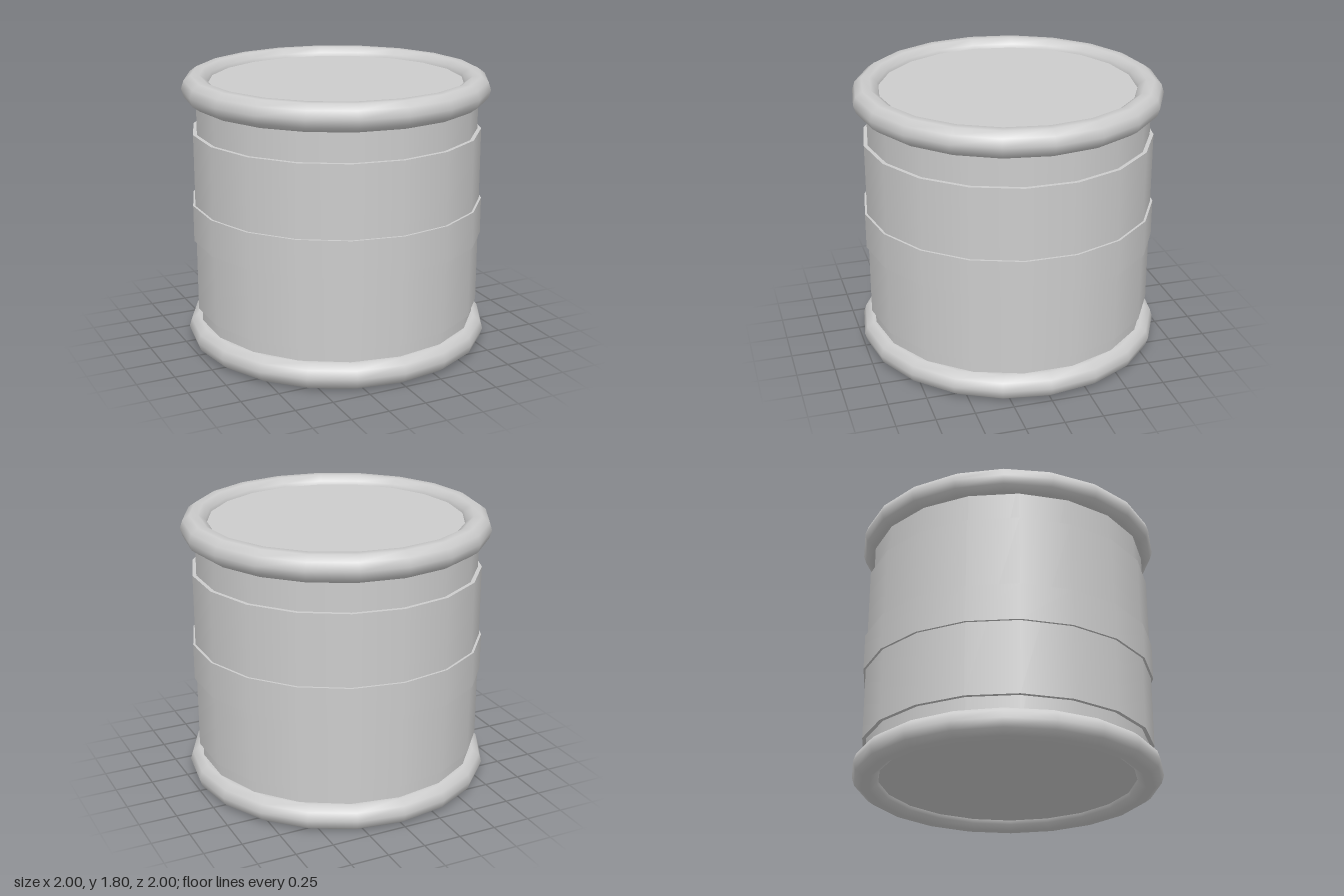
import * as THREE from 'three';

export function createModel() {
  const model = new THREE.Group();
  model.name = 'barrel';
  const grey = new THREE.MeshStandardMaterial({ color: 0xcccccc });
  grey.name = 'plain grey';

  // Upright drum section between two heights
  function addDrum(name, radius, bottom, top) {
    const geometry = new THREE.CylinderGeometry(radius, radius, top - bottom, 18);
    const mesh = new THREE.Mesh(geometry, grey);
    mesh.name = name;
    mesh.position.y = (bottom + top) / 2;
    model.add(mesh);
  }

  // Rounded rim lying flat
  function addRim(name, y) {
    const geometry = new THREE.TorusGeometry(0.91, 0.09, 10, 20);
    geometry.rotateX(-Math.PI / 2);
    const mesh = new THREE.Mesh(geometry, grey);
    mesh.name = name;
    mesh.position.y = y;
    model.add(mesh);
  }

  // Body with its flat ends set just inside the rims
  addDrum('body', 0.92, 0.06, 1.75);
  // Raised sleeve and the narrow belt around it
  addDrum('sleeve', 0.945, 0.26, 1.445);
  addDrum('belt', 0.96, 0.735, 0.975);

  addRim('bottomRim', 0.087);
  addRim('topRim', 1.72);

  return model;
}
